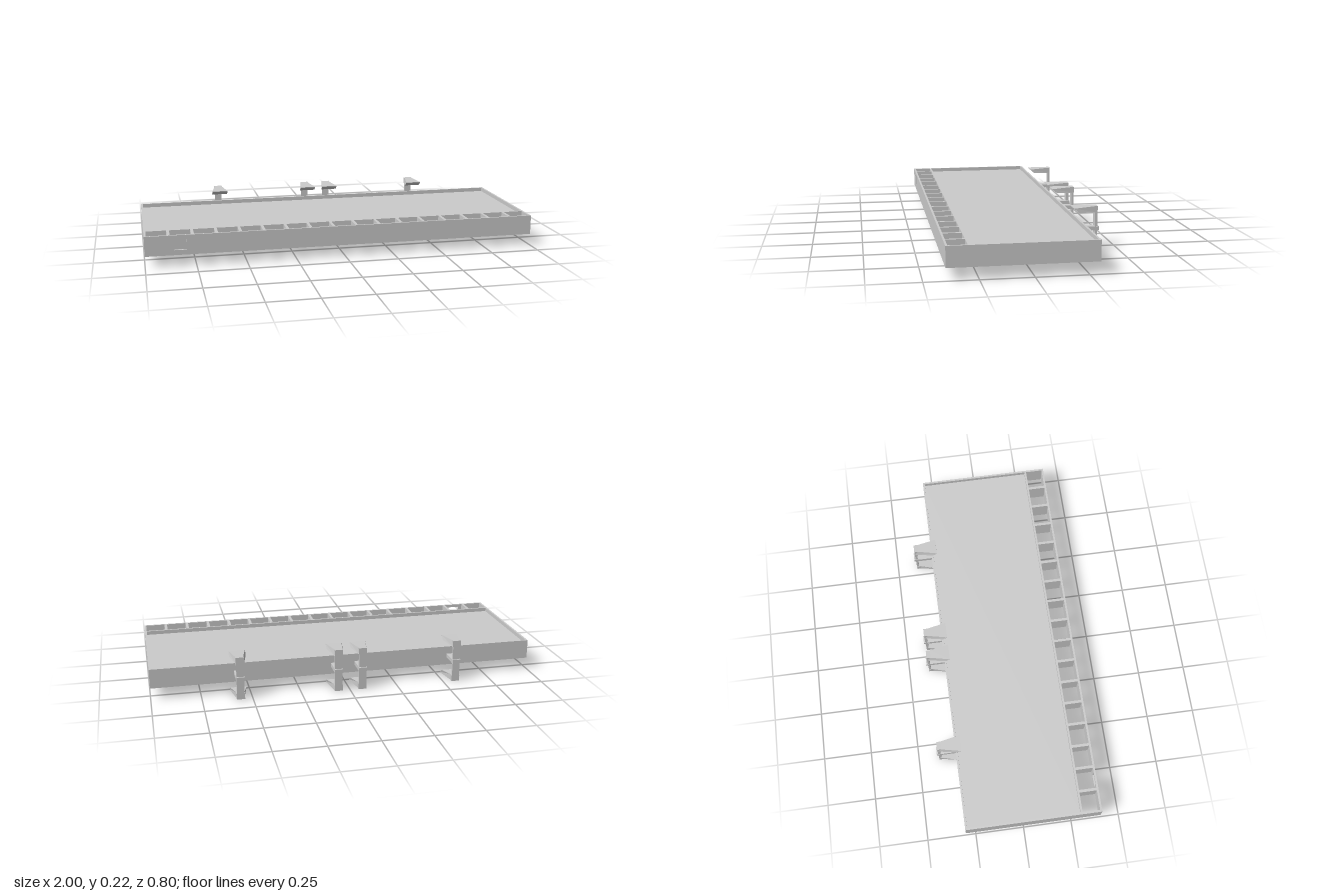
import * as THREE from 'three';

const material = new THREE.MeshStandardMaterial({ color: 0xcccccc, flatShading: true });

function add(parent, name, geometry) {
  const mesh = new THREE.Mesh(geometry, material);
  mesh.name = name;
  parent.add(mesh);
  return mesh;
}

// Box given by its extents along each axis
function box(parent, name, [x0, x1], [y0, y1], [z0, z1]) {
  const mesh = add(parent, name, new THREE.BoxGeometry(x1 - x0, y1 - y0, z1 - z0));
  mesh.position.set((x0 + x1) / 2, (y0 + y1) / 2, (z0 + z1) / 2);
  return mesh;
}

// Clamp jaw: side profile extruded across x, flaring towards its bevelled tip
function jawGeometry(sign) {
  const profile = [
    [-0.392, 0.111], [-0.37, 0.11], [-0.27, 0.106], [-0.27, 0.103],
    [-0.293, 0.084], [-0.37, 0.08], [-0.392, 0.079],
  ];
  const shape = new THREE.Shape(profile.map(([z, y]) => new THREE.Vector2(z, 0.111 + sign * y)));
  const geo = new THREE.ExtrudeGeometry(shape, { depth: 1, bevelEnabled: false });
  geo.translate(0, 0, -0.5).rotateY(-Math.PI / 2);
  const p = geo.attributes.position;
  for (let i = 0; i < p.count; i++) {
    const t = THREE.MathUtils.clamp((p.getZ(i) + 0.37) / 0.077, 0, 1);
    p.setX(i, p.getX(i) * (0.042 + 0.042 * t));
  }
  geo.computeVertexNormals();
  return geo;
}

export function createModel() {
  const model = new THREE.Group();
  model.name = 'tray';
  const height = [0.06, 0.16];
  const wall = 0.01;

  // Outer walls and recessed deck
  const frame = new THREE.Group();
  frame.name = 'frame';
  model.add(frame);
  box(frame, 'backWall', [-1, 1], height, [-0.3, -0.3 + wall]);
  box(frame, 'rightWall', [-1, -1 + wall], height, [-0.3 + wall, 0.4 - wall]);
  box(frame, 'leftWall', [1 - wall, 1], height, [-0.3 + wall, 0.4 - wall]);
  box(frame, 'innerWall', [-1 + wall, 1 - wall], height, [0.29, 0.3]);
  box(frame, 'deck', [-1 + wall, 1 - wall], [0.08, 0.14], [-0.3 + wall, 0.29]);

  // Front wall with a square opening
  const front = new THREE.Shape([[-1, 0.06], [1, 0.06], [1, 0.16], [-1, 0.16]].map((c) => new THREE.Vector2(...c)));
  front.holes.push(new THREE.Path(
    [[-0.855, 0.085], [-0.855, 0.145], [-0.795, 0.145], [-0.795, 0.085]].map((c) => new THREE.Vector2(...c))));
  add(frame, 'frontWall', new THREE.ExtrudeGeometry(front, { depth: wall, bevelEnabled: false }))
    .position.z = 0.4 - wall;

  // Row of open cells along the front
  const cells = 17;
  for (let i = 1; i < cells; i++) {
    const x = -1 + (2 * i) / cells;
    box(frame, 'divider', [x - 0.007, x + 0.007], height, [0.3, 0.4 - wall]);
  }

  // Clamps along the back
  const upperJaw = jawGeometry(1);
  const lowerJaw = jawGeometry(-1);
  for (const x of [-0.565, -0.065, 0.06, 0.56]) {
    const clamp = new THREE.Group();
    clamp.name = 'clamp';
    clamp.position.x = x;
    add(clamp, 'upperJaw', upperJaw);
    add(clamp, 'lowerJaw', lowerJaw);
    box(clamp, 'post', [-0.019, 0.019], [0.02, 0.2], [-0.392, -0.38]);
    box(clamp, 'arm', [-0.021, 0.021], [0.1, 0.12], [-0.4, -0.3]);
    model.add(clamp);
  }
  return model;
}
